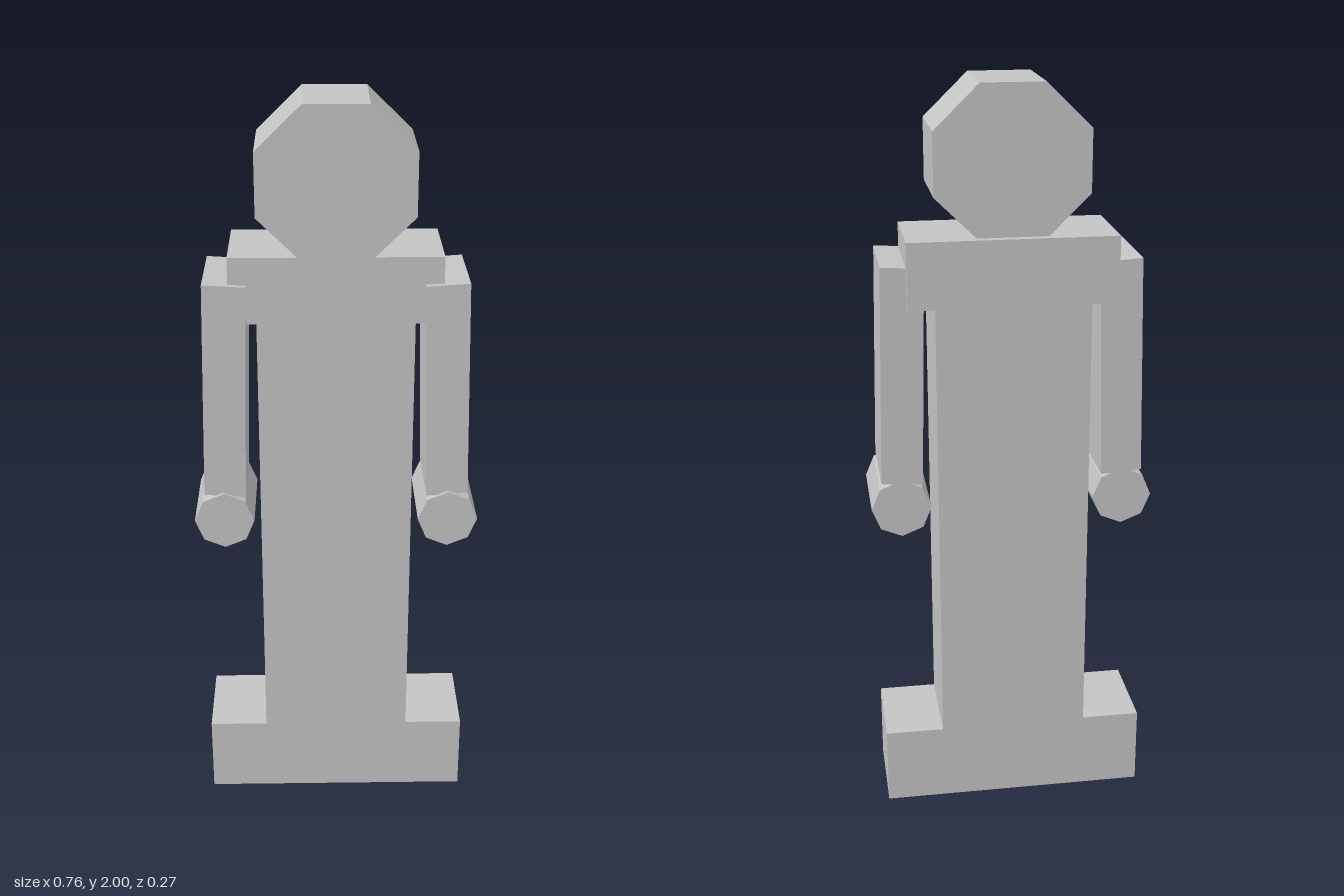
import * as THREE from 'three';

const grey = new THREE.MeshStandardMaterial({ color: 0xc4c4c4 });
grey.name = 'plain grey';

// Flat slab cut from an outline, running from zBack to zFront
function slab(name, points, zBack, zFront) {
  const shape = new THREE.Shape(points.map(([x, y]) => new THREE.Vector2(x, y)));
  const geometry = new THREE.ExtrudeGeometry(shape, { depth: zFront - zBack, bevelEnabled: false });
  geometry.translate(0, 0, zBack);
  const mesh = new THREE.Mesh(geometry, grey);
  mesh.name = name;
  return mesh;
}

// Mirrors a right-hand half outline (listed bottom to top) across x = 0
const mirrored = (half) => [...half, ...half.map(([x, y]) => [-x, y]).reverse()];

export function createModel() {
  const model = new THREE.Group();
  model.name = 'figure';

  // Foot block, trunk and shoulders share one outline
  model.add(slab('body', mirrored([
    [0.361, 0], [0.361, 0.217], [0.202, 0.217],
    [0.202, 1.445], [0.272, 1.445], [0.272, 1.62],
  ]), -0.137, 0.111));

  // Eight-sided head
  model.add(slab('head', mirrored([
    [0.082, 1.61], [0.199, 1.725], [0.199, 1.887], [0.082, 2],
  ]), -0.115, 0.126));

  for (const [side, s] of [['left', 1], ['right', -1]]) {
    // Slightly splayed arm
    const arm = [[0.241, 0.963], [0.351, 0.971], [0.337, 1.555], [0.226, 1.548]];
    model.add(slab(side + 'Arm', arm.map(([x, y]) => [s * x, y]), -0.115, 0.126));

    // Eight-sided hand
    const hand = Array.from({ length: 8 }, (_, i) => {
      const a = i * Math.PI / 4;
      return [s * 0.299 + 0.08 * Math.cos(a), 0.897 + 0.08 * Math.sin(a)];
    });
    model.add(slab(side + 'Hand', hand, -0.115, 0.135));
  }
  return model;
}
